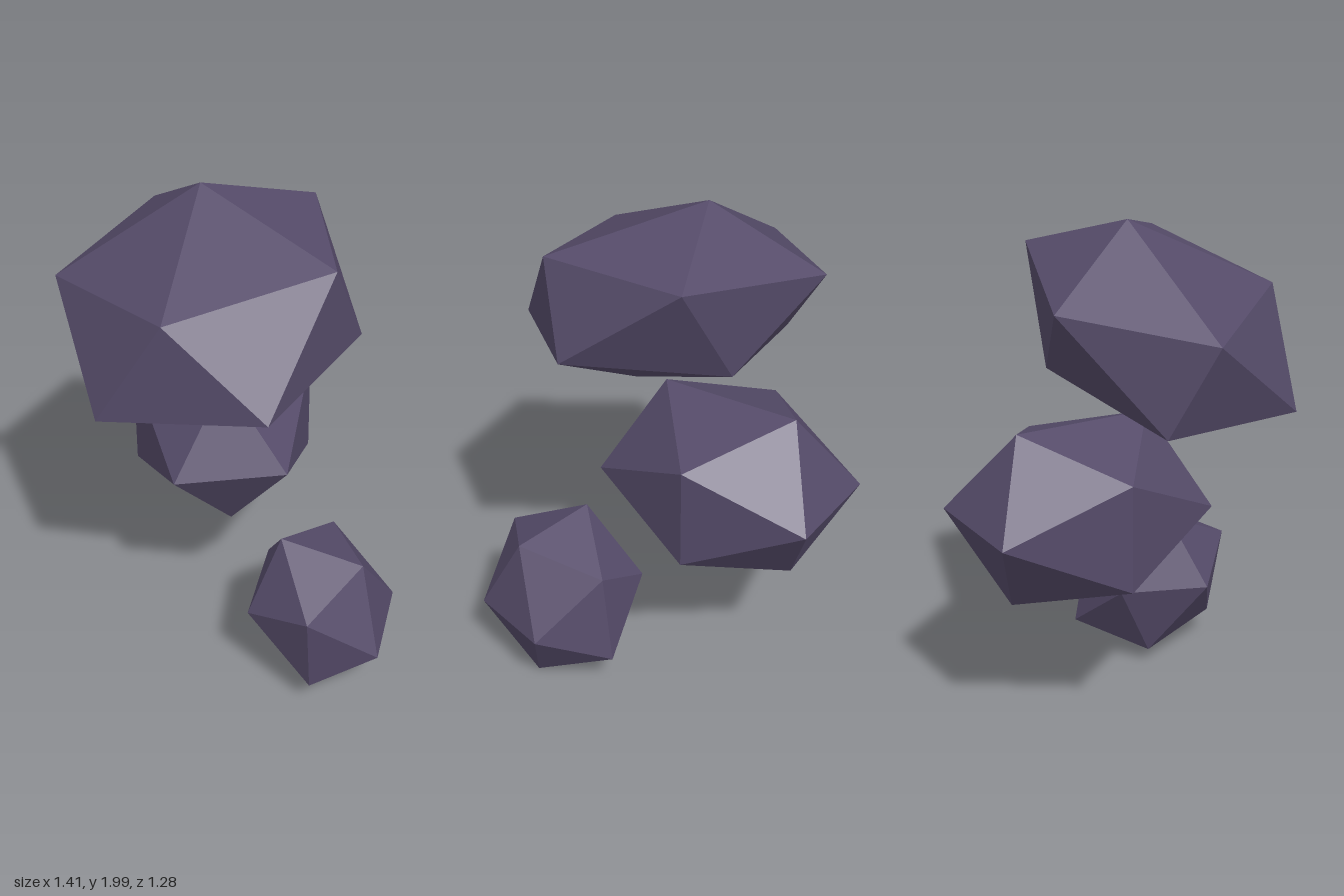
import * as THREE from 'three';
import { ConvexGeometry } from 'three/addons/geometries/ConvexGeometry.js';

// A stretched, tilted twenty-sided rock: six corners, each mirrored through the centre.
function makeRock(name, center, corners, material) {
  const points = [];
  for (const corner of corners) {
    const offset = new THREE.Vector3(...corner).sub(new THREE.Vector3(...center));
    points.push(offset, offset.clone().negate());
  }
  // ConvexGeometry gives each face its own normal, so facets stay crisp.
  const rock = new THREE.Mesh(new ConvexGeometry(points), material);
  rock.name = name;
  rock.position.set(...center);
  return rock;
}

export function createModel() {
  const stone = new THREE.MeshStandardMaterial({ color: 0x554b69 });
  stone.name = 'purpleStone';

  const model = new THREE.Group();
  model.name = 'floatingRocks';

  // Large upper rock: top corner, then the ring of five around it.
  model.add(makeRock('upperRock', [-0.093, 1.585, 0.125], [
    [-0.2, 2.0, 0.02],
    [0.02, 1.86, -0.39], [0.405, 1.85, 0.04], [0.02, 1.73, 0.53],
    [-0.59, 1.66, 0.39], [-0.585, 1.75, -0.18],
  ], stone));

  // Middle rock: front corner, then the ring of five around it.
  model.add(makeRock('middleRock', [-0.247, 0.908, -0.156], [
    [-0.11, 0.88, 0.333],
    [-0.06, 1.24, 0.075], [-0.51, 1.11, 0.08], [-0.51, 0.69, 0.08],
    [-0.06, 0.557, 0.04], [0.215, 0.897, 0.045],
  ], stone));

  // Small lower rock: front corner, then the ring of five around it.
  model.add(makeRock('lowerRock', [0.388, 0.333, 0.038], [
    [0.52, 0.497, 0.337],
    [0.255, 0.66, 0.135], [0.215, 0.375, 0.3], [0.5, 0.13, 0.28],
    [0.705, 0.27, 0.115], [0.56, 0.597, 0.02],
  ], stone));

  return model;
}
